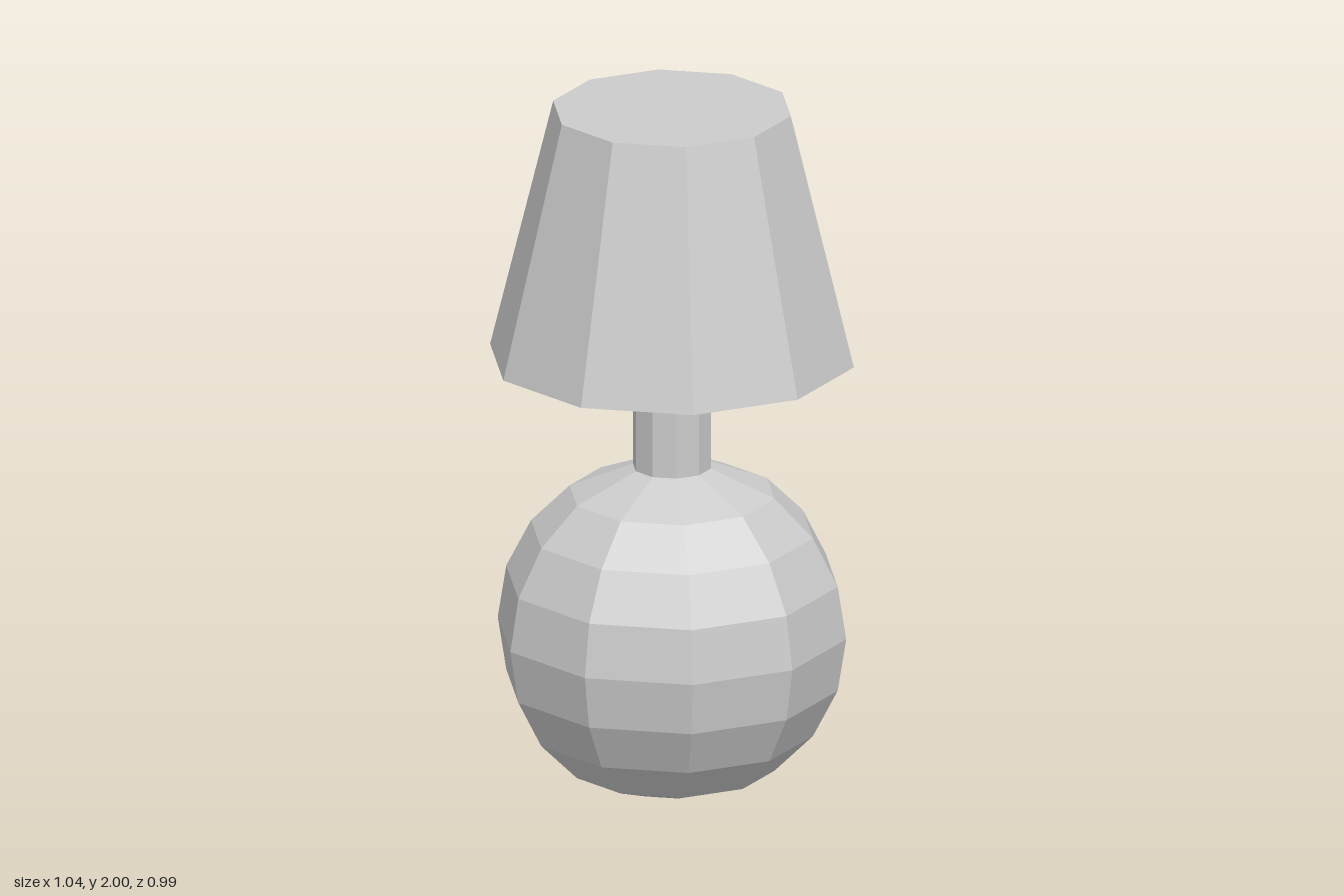
import * as THREE from 'three';

const SIDES = 10;
const material = new THREE.MeshStandardMaterial({ color: 0xcccccc, flatShading: true });

// Ten-sided part turned about the y axis, with a corner on +x; profile is [radius, y] from bottom to top
function turned(name, profile) {
  const points = profile.map(([r, y]) => new THREE.Vector2(r, y));
  const geometry = new THREE.LatheGeometry(points, SIDES, Math.PI / 2);
  const mesh = new THREE.Mesh(geometry, material);
  mesh.name = name;
  return mesh;
}

export function createModel() {
  const lamp = new THREE.Group();
  lamp.name = 'tableLamp';

  // Faceted ball base: flat foot, rings every 18 degrees, closing in to the stem
  const radius = 0.5, centreY = 0.455;
  const base = [[0, 0], [0.153, 0]];
  for (let i = -3; i <= 3; i++) {
    const a = (i * Math.PI) / 10;
    base.push([radius * Math.cos(a), centreY + radius * Math.sin(a)]);
  }
  base.push([0.112, 0.937]);
  lamp.add(turned('base', base));

  // Straight stem between the ball and the shade
  lamp.add(turned('stem', [[0.112, 0.937], [0.112, 1.265]]));

  // Tapered shade, closed above and below
  lamp.add(turned('shade', [[0, 1.265], [0.522, 1.265], [0.341, 2], [0, 2]]));

  return lamp;
}
